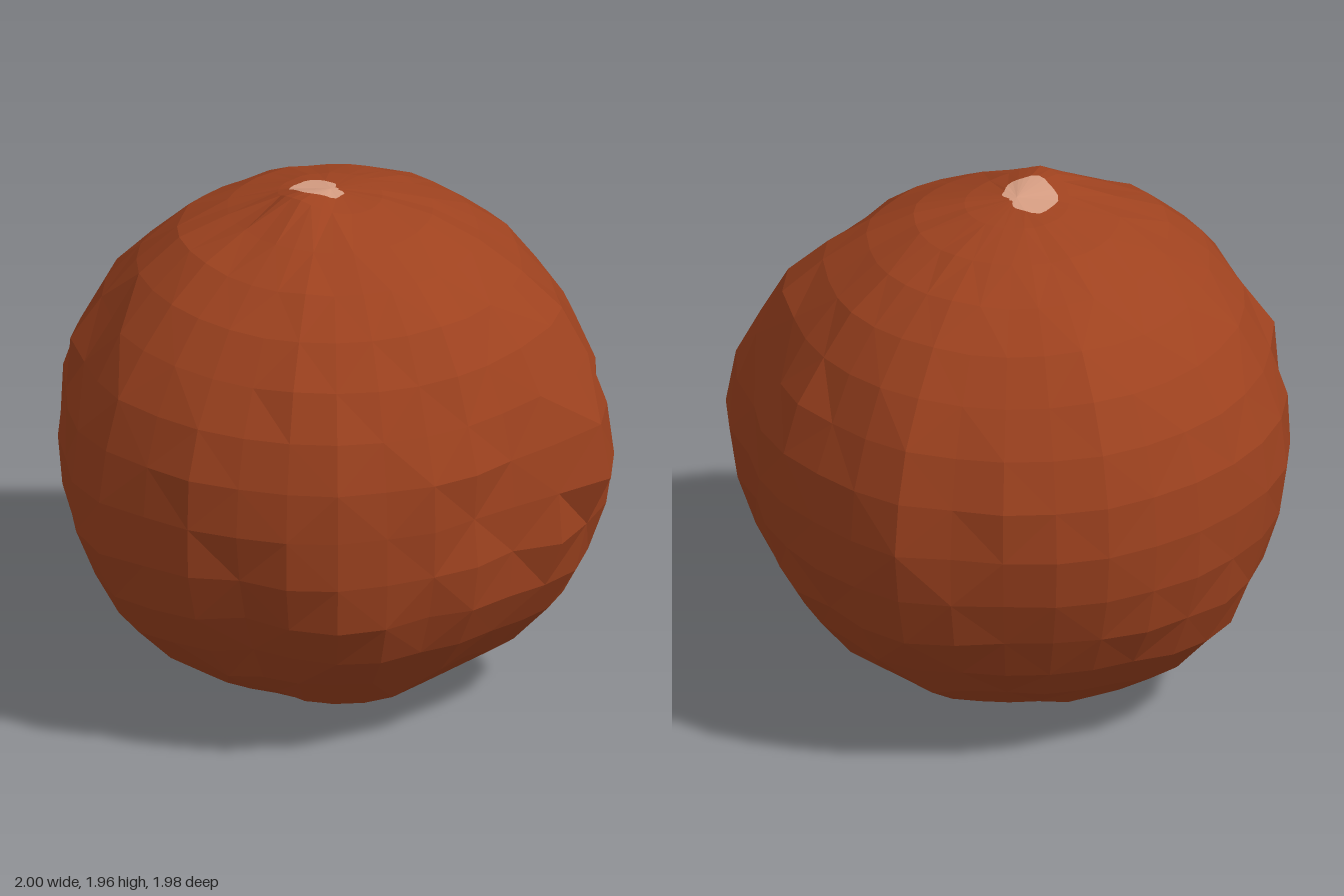
import * as THREE from 'three';

const SEG = 32, ROWS = 16, CENTRE = 0.965;

// Equatorial radius at 32 headings, from the front (+z) round through +x
const outline = [
  0.92, 0.955, 1.01, 1.03, 0.97, 0.99, 0.99, 0.98,
  1.0, 1.02, 0.985, 0.98, 0.985, 1.0, 0.99, 0.985,
  1.0, 1.005, 1.005, 0.99, 0.99, 0.99, 1.01, 1.02,
  0.985, 0.975, 0.945, 0.955, 0.95, 0.935, 0.93, 0.935,
];

// Local swellings and dents: direction, height, angular width
const bumps = [
  // raised lip beside the top patch
  [-0.19, 0.98, 0.02, 0.06, 0.14],
  // short ridge on the front
  [0.33, 0.5, 0.8, 0.03, 0.14],
  [0.37, 0.2, 0.9, 0.05, 0.13],
  [0.38, 0.0, 0.92, 0.06, 0.12],
  // fuller upper shoulders
  [-0.47, 0.82, -0.33, 0.04, 0.2],
  [-0.14, 0.73, 0.67, 0.025, 0.18],
  [-0.63, 0.36, -0.7, 0.04, 0.12],
  [0.72, 0.21, -0.67, 0.02, 0.15],
  // fuller lower sides, back and front
  [-0.9, -0.42, -0.1, 0.03, 0.3],
  [0.9, -0.35, 0.0, 0.015, 0.4],
  [0.0, -0.65, -0.75, 0.04, 0.3],
  [-0.31, -0.84, -0.45, 0.03, 0.22],
  [-0.31, -0.84, 0.45, 0.04, 0.22],
  [0.19, -0.2, 0.96, 0.035, 0.12],
  [0.08, -0.48, 0.88, 0.035, 0.28],
  [-0.55, -0.42, 0.72, 0.045, 0.22],
  // hollows
  [0.0, 0.62, -0.78, -0.02, 0.25],
  [-0.74, 0.17, -0.65, -0.045, 0.1],
  [-0.78, -0.5, 0.4, -0.025, 0.12],
  [-0.18, 0.0, 0.98, -0.04, 0.1],
].map(([x, y, z, h, w]) => ({ dir: new THREE.Vector3(x, y, z).normalize(), h, w }));

// Repeatable roughness for each grid corner
function rough(i, k) {
  const s = Math.sin(i * 127.1 + k * 311.7) * 43758.5453;
  return (s - Math.floor(s) - 0.5) * 0.024;
}

function surfacePoint(theta, k, jitter) {
  const phi = (k / SEG) * Math.PI * 2, s = Math.sin(theta);
  const dir = new THREE.Vector3(s * Math.sin(phi), Math.cos(theta), s * Math.cos(phi));
  let r = 0.96 + (outline[k] - 0.965) * s * s + jitter * s;
  for (const b of bumps) r += b.h * Math.exp(-((dir.angleTo(b.dir) / b.w) ** 2));
  return dir.multiplyScalar(r).setY(dir.y + CENTRE);
}

// Uneven edge of a pale patch close to a pole, a little longer along z
function patchAngle(k, radius, shiftX, shiftZ) {
  const phi = (k / SEG) * Math.PI * 2;
  return radius + shiftX * Math.sin(phi) + shiftZ * Math.cos(phi)
    + 0.01 * Math.cos(phi * 2) + 0.006 * Math.sin(phi * 7);
}

export function createModel() {
  const group = new THREE.Group();
  const skin = new THREE.MeshStandardMaterial({ color: 0x9e421f, flatShading: true });
  skin.name = 'rust brown skin';
  const pale = new THREE.MeshStandardMaterial({ color: 0xd69d82, flatShading: true });
  pale.name = 'pale patch';

  // Rings from top pole to bottom pole, with an extra ring round each patch
  const rings = [() => 0, (k) => patchAngle(k, 0.09, -0.048, -0.035)];
  for (let j = 1; j < ROWS; j++) rings.push(() => (j / ROWS) * Math.PI);
  rings.push((k) => Math.PI - patchAngle(k, 0.158, -0.018, -0.005), () => Math.PI);

  const points = rings.map((angle, i) =>
    Array.from({ length: SEG }, (_, k) => surfacePoint(angle(k), k, rough(i, k))));

  // Skin a run of neighbouring rings
  function band(name, first, last, material) {
    const positions = [], index = [];
    for (let i = first; i <= last; i++) {
      for (const p of points[i]) positions.push(p.x, p.y, p.z);
    }
    for (let i = 0; i < last - first; i++) {
      for (let k = 0; k < SEG; k++) {
        const n = (k + 1) % SEG;
        const a = i * SEG + k, b = a + SEG, c = (i + 1) * SEG + n, d = i * SEG + n;
        if (first + i === 0) index.push(a, b, c);
        else if (first + i + 1 === rings.length - 1) index.push(a, b, d);
        else if ((i + k) % 2) index.push(a, b, c, a, c, d);
        else index.push(a, b, d, b, c, d);
      }
    }
    const geometry = new THREE.BufferGeometry();
    geometry.setAttribute('position', new THREE.Float32BufferAttribute(positions, 3));
    geometry.setIndex(index);
    geometry.computeVertexNormals();
    const mesh = new THREE.Mesh(geometry, material);
    mesh.name = name;
    group.add(mesh);
  }

  const end = rings.length - 1;
  band('topPatch', 0, 1, pale);
  band('body', 1, end - 1, skin);
  band('bottomPatch', end - 1, end, pale);

  // Stand the body on the ground
  const box = new THREE.Box3().setFromObject(group);
  for (const mesh of group.children) mesh.geometry.translate(0, -box.min.y, 0);
  group.name = 'lumpyBall';
  return group;
}
